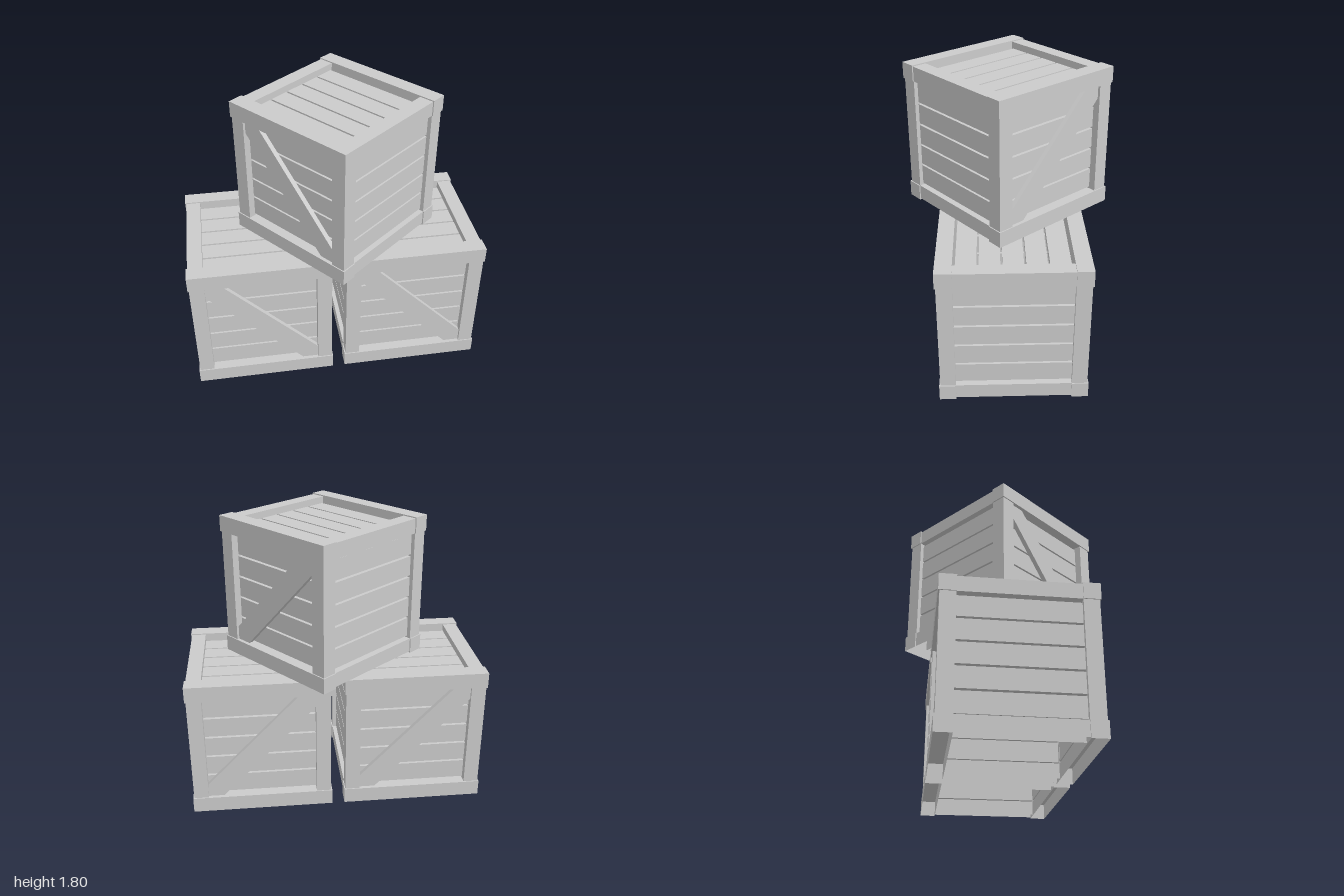
import * as THREE from 'three';

const WOOD = new THREE.MeshStandardMaterial({ color: 0xcccccc, flatShading: true, side: THREE.DoubleSide });
const SIZE = 0.895, HEIGHT = 0.9, BEAM = 0.1;
const HALF = SIZE / 2;
const INSET = 0.007;               // posts and end rails sit just inside the long rails
const OPEN = HALF - BEAM;          // half width of each framed opening
const SLATS = 5, GAP = 0.0125;

function addBox(group, name, [w, h, d], [x, y, z], openBottom = false) {
  const geometry = new THREE.BoxGeometry(w, h, d);
  if (openBottom) {
    // drop the downward face, leaving a hollow underside
    geometry.setIndex([...geometry.index.array].filter((_, i) => i < 18 || i > 23));
    geometry.clearGroups();
  }
  const mesh = new THREE.Mesh(geometry, WOOD);
  mesh.name = name;
  mesh.position.set(x, y, z);
  group.add(mesh);
}

// Diagonal board trimmed to the corners of the framed opening
function braceGeometry() {
  const x = OPEN, y = HEIGHT / 2 - BEAM, cutX = 0.1, cutY = 0.085;
  const shape = new THREE.Shape([
    [-x, y], [-x, y - cutY], [x - cutX, -y], [x, -y], [x, -y + cutY], [-x + cutX, y],
  ].map(([a, b]) => new THREE.Vector2(a, b)));
  return new THREE.ExtrudeGeometry(shape, { depth: 0.03, bevelEnabled: false });
}

function createCrate(name) {
  const crate = new THREE.Group();
  crate.name = name;
  const mid = HEIGHT / 2;
  const edge = HALF - BEAM / 2;

  for (const s of [-1, 1]) {
    // Long rails across the front and back, shorter rails on the ends
    for (const top of [false, true]) {
      const y = top ? HEIGHT - BEAM / 2 : BEAM / 2;
      addBox(crate, 'longRail', [SIZE, BEAM, BEAM], [0, y, s * edge], !top);
      addBox(crate, 'endRail', [BEAM - INSET, BEAM - INSET, 2 * OPEN],
        [s * (edge - INSET / 2), y + (top ? -1 : 1) * INSET / 2, 0], !top);
    }
    // Corner posts
    for (const t of [-1, 1]) {
      addBox(crate, 'cornerPost', [BEAM - INSET, HEIGHT - 2 * BEAM, BEAM - INSET],
        [s * (edge - INSET / 2), mid, t * (edge - INSET / 2)]);
    }
    // Diagonal brace on the front and back
    const brace = new THREE.Mesh(braceGeometry(), WOOD);
    brace.name = 'diagonalBrace';
    brace.position.set(0, mid, s > 0 ? 0.395 : -0.425);
    crate.add(brace);
  }

  // Recessed slats on the four walls and the lid; the bottom stays open
  const wallPitch = (HEIGHT - 2 * BEAM - GAP) / SLATS;
  const lidPitch = (2 * OPEN - GAP) / SLATS;
  const length = 2 * OPEN;
  for (let i = 0; i < SLATS; i++) {
    const k = i - (SLATS - 1) / 2;
    const y = mid + k * wallPitch;
    for (const s of [-1, 1]) {
      addBox(crate, 'wallSlat', [length, wallPitch - GAP, 0.045], [0, y, s * 0.3725]);
      addBox(crate, 'endSlat', [0.045, wallPitch - GAP, length], [s * 0.3925, y, 0]);
    }
    addBox(crate, 'lidSlat', [length, 0.045, lidPitch - GAP], [0, HEIGHT - 0.0725, k * lidPitch]);
  }
  return crate;
}

export function createModel() {
  const model = new THREE.Group();
  model.name = 'crateStack';

  // Two crates side by side on the ground, one on top
  const turn = THREE.MathUtils.degToRad(49.2);
  for (const s of [-1, 1]) {
    const crate = createCrate(s < 0 ? 'frontCrate' : 'backCrate');
    crate.position.set(s * 0.318, 0, -s * 0.369);
    crate.rotation.y = turn;
    model.add(crate);
  }
  const upper = createCrate('upperCrate');
  upper.position.set(0.042, 0.904, -0.027);
  upper.rotation.y = THREE.MathUtils.degToRad(-1.2);
  model.add(upper);
  return model;
}
